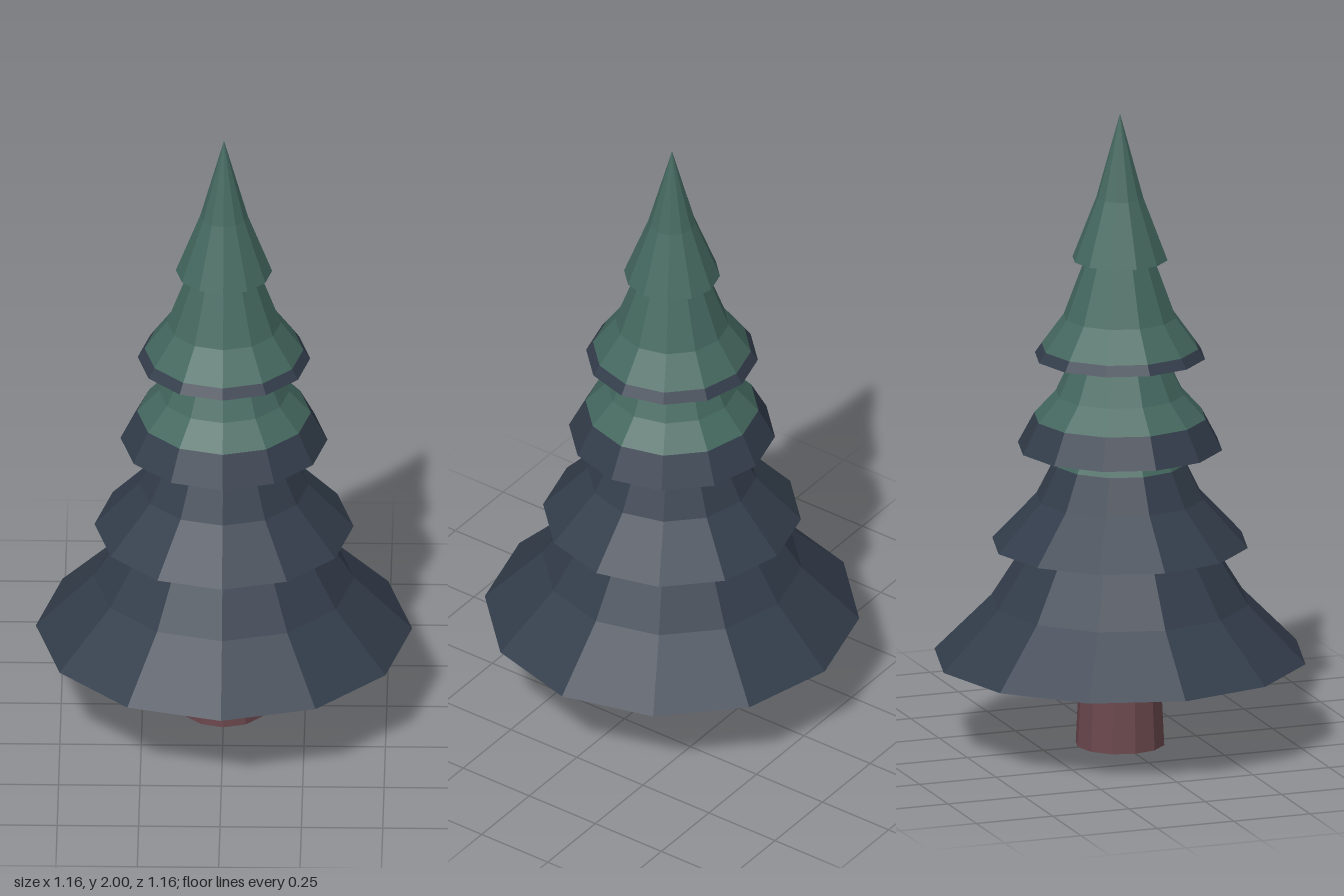
import * as THREE from 'three';

const SIDES = 12;

const needleGreen = new THREE.MeshStandardMaterial({ color: 0x44685f });
needleGreen.name = 'needle green';
const needleNavy = new THREE.MeshStandardMaterial({ color: 0x333d4b });
needleNavy.name = 'needle navy';
const barkBrown = new THREE.MeshStandardMaterial({ color: 0x6a474c });
barkBrown.name = 'bark brown';

// Twelve-sided faceted turning; profile is [radius, y], listed bottom to top
function faceted(name, profile, material) {
  const points = profile.map(([r, y]) => new THREE.Vector2(r, y));
  const geometry = new THREE.LatheGeometry(points, SIDES).toNonIndexed();
  geometry.computeVertexNormals();
  const mesh = new THREE.Mesh(geometry, material);
  mesh.name = name;
  return mesh;
}

// Skirts of branches: rim, bend and top as [radius, y]; paint = [radius, y] where navy meets green
const TIERS = [
  { name: 'bottomBranches', rim: [0.578, 0.276], bend: [0.4, 0.456], top: [0.272, 0.66] },
  { name: 'lowerBranches', rim: [0.398, 0.637], bend: [0.26, 0.785], top: [0.185, 0.934], paint: [0.205, 0.895] },
  { name: 'middleBranches', rim: [0.318, 0.944], bend: [0.2, 1.114], top: [0.135, 1.25], paint: [0.267, 1.04] },
  { name: 'upperBranches', rim: [0.265, 1.231], bend: [0.175, 1.358], top: [0.1, 1.56], paint: [0.244, 1.262] },
  { name: 'crown', rim: [0.148, 1.54], bend: [0.073, 1.735], top: [0, 2], green: true },
];

function makeTier({ name, rim, bend, top, paint, green }) {
  const tier = new THREE.Group();
  tier.name = name;
  const profile = [[0, rim[1]], rim, bend, top];
  if (top[0] > 0) profile.push([0, top[1]]);
  if (!paint) {
    tier.add(faceted(name + 'Skirt', profile, green ? needleGreen : needleNavy));
    return tier;
  }
  const below = profile.filter((p) => p[1] < paint[1]);
  const above = profile.filter((p) => p[1] > paint[1]);
  tier.add(faceted(name + 'Navy', [...below, paint], needleNavy));
  tier.add(faceted(name + 'Green', [paint, ...above], needleGreen));
  return tier;
}

export function createModel() {
  const tree = new THREE.Group();
  tree.name = 'pineTree';
  // Tapering trunk, showing below the branches and in the gap between tiers
  tree.add(faceted('trunk', [[0, 0], [0.138, 0], [0.09, 0.96], [0, 0.96]], barkBrown));
  TIERS.forEach((tier) => tree.add(makeTier(tier)));
  return tree;
}
